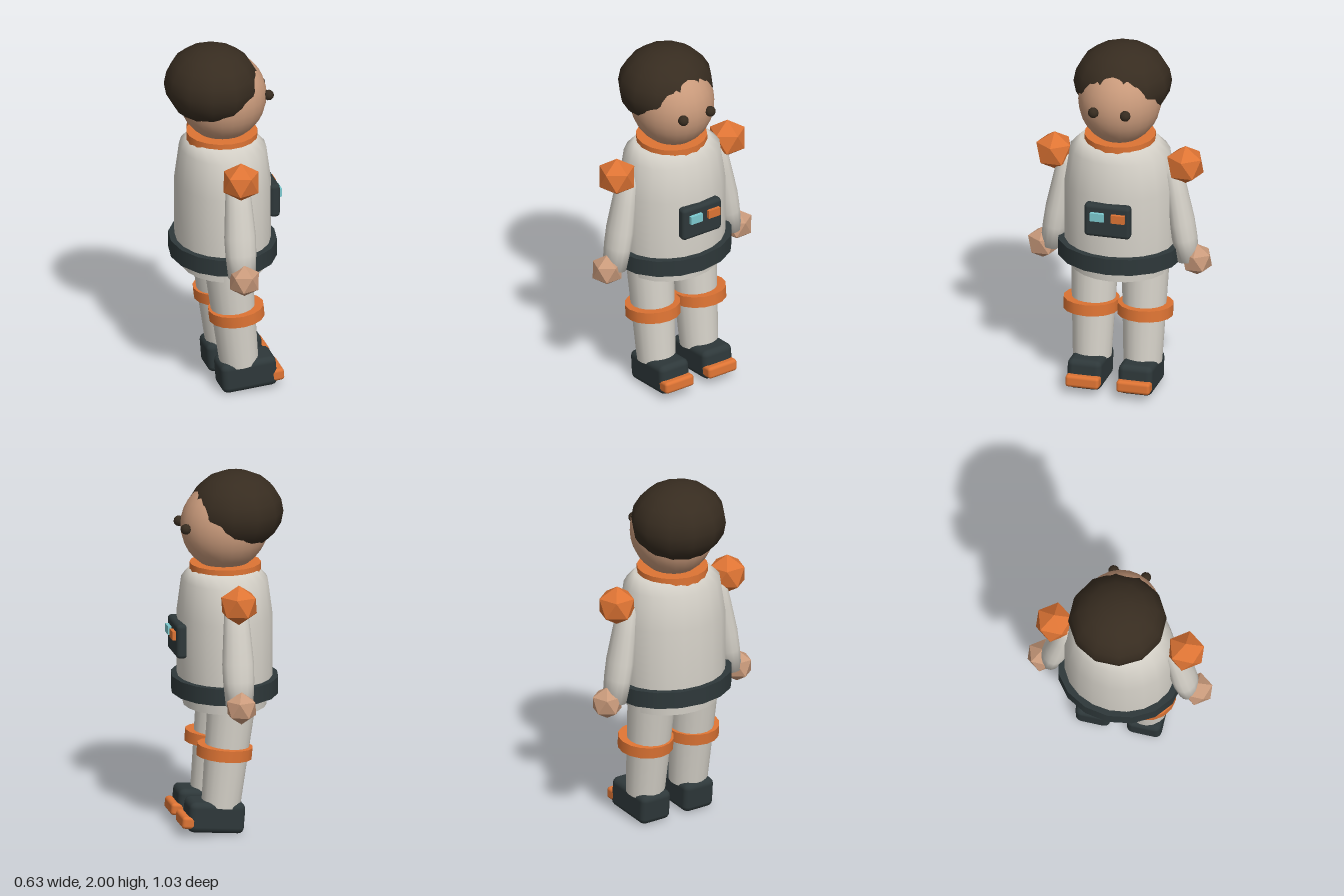
import * as THREE from 'three';
import { RoundedBoxGeometry } from 'three/addons/geometries/RoundedBoxGeometry.js';

const paint = (name, color, flatShading = false) => {
  const m = new THREE.MeshStandardMaterial({ color, flatShading });
  m.name = name;
  return m;
};

export function createModel() {
  const model = new THREE.Group();
  model.name = 'astronaut';

  const suit = paint('suitWhite', 0xd6d2c9);
  const orange = paint('trimOrange', 0xde7434);
  const dark = paint('darkGrey', 0x2e383a);
  const skin = paint('skin', 0xc99a7b);
  const hairBrown = paint('hairBrown', 0x372c20);
  const teal = paint('buttonTeal', 0x7cc9cf);

  const add = (name, geo, mat, x = 0, y = 0, z = 0, parent = model) => {
    const mesh = new THREE.Mesh(geo, mat);
    mesh.name = name;
    mesh.position.set(x, y, z);
    parent.add(mesh);
    return mesh;
  };
  // Turned shape from [radius, height] pairs, listed bottom to top
  const turned = (pts, sides, sx = 1, sz = 1) =>
    new THREE.LatheGeometry(pts.map(p => new THREE.Vector2(...p)), sides).scale(sx, 1, sz);
  // Flat-edged band with separate faces on the rim
  const band = (r, h, sides, sz = 1) => new THREE.CylinderGeometry(r, r, h, sides).scale(1, 1, sz);
  // Faceted ball standing on one vertex
  const facetBall = (r) =>
    new THREE.IcosahedronGeometry(r, 0).rotateX(-1.0172).rotateY(Math.PI / 2);
  const ellipsoid = (rx, ry, rz, w, h) => new THREE.SphereGeometry(1, w, h).scale(rx, ry, rz);

  // Torso, pelvis, belt and collar
  add('torso', turned([[0.255, 0.76], [0.262, 0.9], [0.262, 1.2], [0.236, 1.4], [0.185, 1.46], [0, 1.46]],
    20, 1, 1.18), suit);
  add('pelvis', new THREE.CylinderGeometry(0.235, 0.228, 0.12, 20).scale(1, 1, 1.18), suit, 0, 0.75, 0);
  add('belt', band(0.294, 0.095, 16, 1.18), dark, 0, 0.808, 0);
  add('collar', band(0.196, 0.054, 18), orange, -0.004, 1.463, 0);

  // Head, hair and eyes
  add('head', ellipsoid(0.243, 0.25, 0.228, 24, 16), skin, 0, 1.7, 0);
  add('hair', ellipsoid(0.26, 0.22, 0.27, 12, 10).rotateY(Math.PI / 12), hairBrown, -0.062, 1.78, 0);

  // Chest control panel
  add('chestPanel', new RoundedBoxGeometry(0.06, 0.195, 0.26, 2, 0.022), dark, 0.264, 1.08, 0);
  add('tealButton', new THREE.BoxGeometry(0.03, 0.048, 0.077), teal, 0.298, 1.11, 0.052);
  add('orangeButton', new THREE.BoxGeometry(0.03, 0.048, 0.077), orange, 0.298, 1.11, -0.066);

  // Paired parts
  const flatOrange = orange;
  for (const s of [1, -1]) {
    const side = s > 0 ? 'right' : 'left';
    add(side + 'Eye', new THREE.IcosahedronGeometry(0.03, 1), hairBrown, 0.236, 1.71, s * 0.09);

    // Arm hangs outward from the shoulder
    const arm = add(side + 'Arm',
      turned([[0, -0.27], [0.076, -0.27], [0.086, -0.14], [0.088, -0.04], [0.076, 0.13], [0.066, 0.25], [0.04, 0.3], [0, 0.31]],
        14, 1, 0.8), suit, 0, 1.04, s * 0.342);
    arm.rotation.x = -s * 0.165;
    add(side + 'ShoulderPad', facetBall(0.112), flatOrange, 0, 1.34, s * 0.37);
    add(side + 'Hand', facetBall(0.092), skin, 0, 0.773, s * 0.435);

    // Leg leans so the foot is forward
    const leg = add(side + 'Leg', new THREE.CylinderGeometry(0.133, 0.107, 0.6, 18), suit, 0.021, 0.45, s * 0.143);
    leg.rotation.z = 0.105;
    const knee = add(side + 'KneeBand', band(0.154, 0.064, 16), orange, 0.034, 0.461, s * 0.153);
    knee.rotation.z = 0.09;

    // Boot with toe bumper
    const boot = new THREE.Group();
    boot.name = side + 'Boot';
    boot.position.set(0.09, 0.096, s * 0.144);
    boot.rotation.z = 0.08;
    model.add(boot);
    add(side + 'BootBody', new RoundedBoxGeometry(0.315, 0.172, 0.194, 2, 0.035), dark, 0, 0, 0, boot);
    add(side + 'ToeBumper', new RoundedBoxGeometry(0.085, 0.068, 0.19, 2, 0.018), orange, 0.152, -0.029, 0, boot);
  }
  return model;
}
